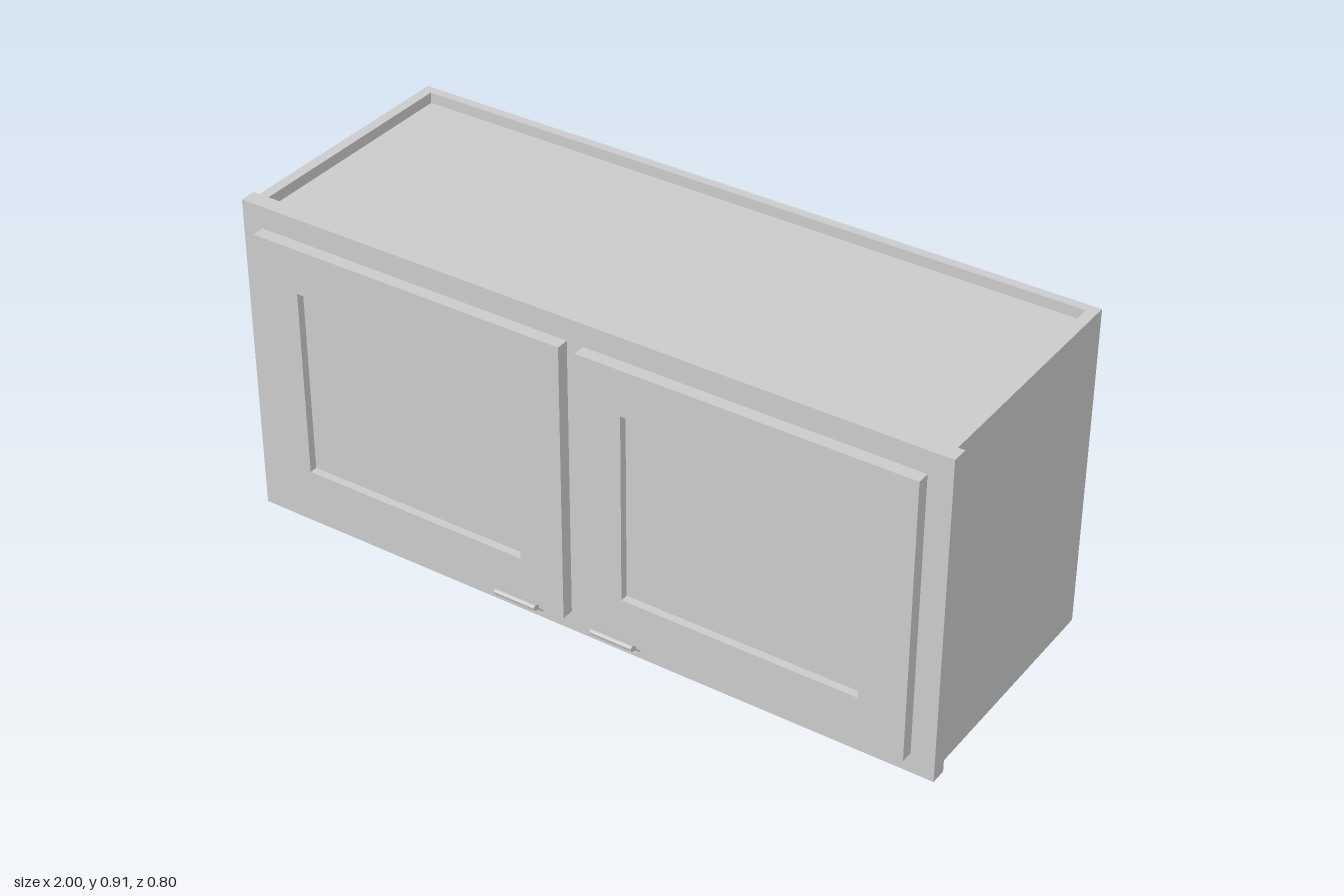
import * as THREE from 'three';

const material = new THREE.MeshStandardMaterial({ color: 0xcccccc, side: THREE.DoubleSide });

export function createModel() {
  const model = new THREE.Group();
  model.name = 'wallCabinet';

  const add = (parent, name, geometry) => {
    const mesh = new THREE.Mesh(geometry, material);
    mesh.name = name;
    parent.add(mesh);
    return mesh;
  };

  // Box given by its limits on each axis
  const box = (parent, name, [x0, x1], [y0, y1], [z0, z1]) => {
    const mesh = add(parent, name, new THREE.BoxGeometry(x1 - x0, y1 - y0, z1 - z0));
    mesh.position.set((x0 + x1) / 2, (y0 + y1) / 2, (z0 + z1) / 2);
    return mesh;
  };

  // Flat frame with rectangular openings, extruded from z0 to z1
  const rect = (target, [x0, x1, y0, y1]) =>
    target.moveTo(x0, y0).lineTo(x1, y0).lineTo(x1, y1).lineTo(x0, y1).closePath();
  const frame = (parent, name, outer, holes, z0, z1) => {
    const shape = rect(new THREE.Shape(), outer);
    for (const hole of holes) shape.holes.push(rect(new THREE.Path(), hole));
    const geometry = new THREE.ExtrudeGeometry(shape, { depth: z1 - z0, bevelEnabled: false });
    return add(parent, name, geometry.translate(0, 0, z0));
  };

  const height = 0.91, back = -0.4, front = 0.28, inner = 0.953, railFront = -0.375;

  // Carcass: sides, recessed top, bottom and back panels
  const carcass = new THREE.Group();
  carcass.name = 'carcass';
  model.add(carcass);
  box(carcass, 'leftSide', [inner, 0.982], [0, height], [back, front]);
  box(carcass, 'rightSide', [-0.982, -inner], [0, height], [back, front]);
  box(carcass, 'topPanel', [-inner, inner], [0.85, 0.88], [railFront, front]);
  box(carcass, 'bottomPanel', [-inner, inner], [0.03, 0.06], [railFront, front]);
  box(carcass, 'backPanel', [-inner, inner], [0.06, 0.85], [railFront, -0.36]);

  // Hanging rails across the back
  box(carcass, 'upperBackRail', [-inner, inner], [0.73, height], [back, railFront]);
  box(carcass, 'lowerBackRail', [-inner, inner], [0, 0.18], [back, railFront]);

  // Face frame with an opening behind each door
  frame(model, 'faceFrame', [-1, 1, 0, height],
    [[-0.9, -0.06, 0.09, 0.82], [0.06, 0.9, 0.09, 0.82]], front, 0.325);

  // Pull profile in (z, y): thin tab under the door, slanted stem
  const tab = new THREE.Shape([
    [0.328, 0.058], [0.366, 0.058], [0.386, 0.078], [0.384, 0.081], [0.364, 0.061], [0.328, 0.061],
  ].map(([z, y]) => new THREE.Vector2(z, y)));
  // Rounded grip at the end of the stem
  const grip = new THREE.Shape().absellipse(0.393, 0.086, 0.012, 0.0075, 0, Math.PI * 2, false, 0.55);
  const pullLength = 0.122;

  // Doors: framed front with a sunk panel and a pull by the centre
  for (const [side, s] of [['left', 1], ['right', -1]]) {
    const door = new THREE.Group();
    door.name = side + 'Door';
    model.add(door);
    const span = (a, b) => (s > 0 ? [a, b] : [-b, -a]);
    frame(door, 'doorFrame', [...span(0.023, 0.937), 0.06, 0.85],
      [[...span(0.15, 0.81), 0.19, 0.723]], 0.328, 0.363);
    box(door, 'doorPanel', span(0.148, 0.812), [0.188, 0.725], [0.329, 0.341]);

    const pull = new THREE.Group();
    pull.name = 'pull';
    door.add(pull);
    for (const [name, shape] of [['pullTab', tab], ['pullGrip', grip]]) {
      const geometry = new THREE.ExtrudeGeometry(shape, {
        depth: pullLength, bevelEnabled: false, curveSegments: 16,
      });
      geometry.rotateY(-Math.PI / 2).translate(s * 0.144 + pullLength / 2, 0, 0);
      add(pull, name, geometry);
    }
  }

  return model;
}
